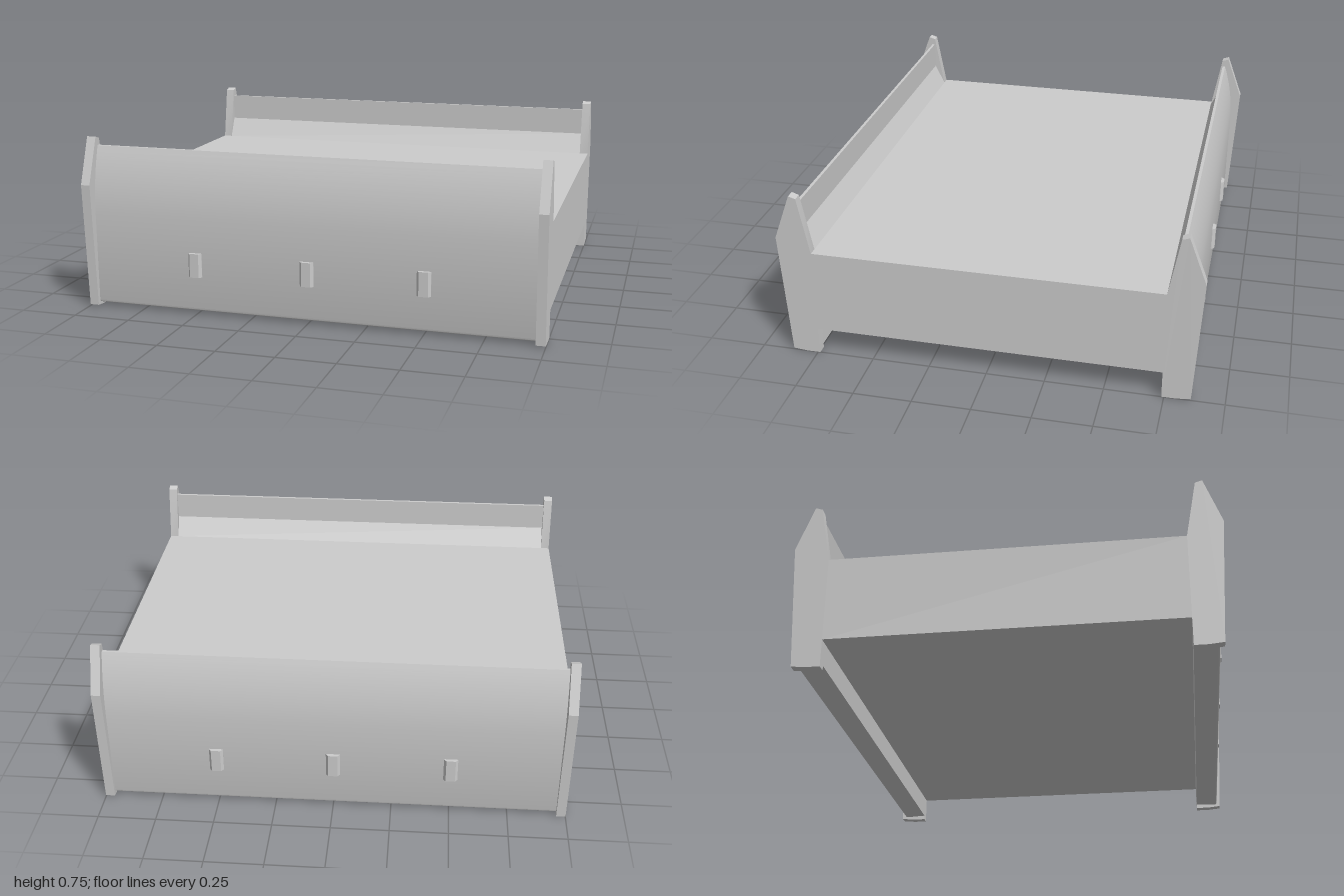
import * as THREE from 'three';
import { toCreasedNormals } from 'three/addons/utils/BufferGeometryUtils.js';

const material = new THREE.MeshStandardMaterial({ color: 0xcccccc });

// Extrude a (z, y) profile along x, centred on x = 0
function extrudeAlongX(shape, width) {
  const geo = new THREE.ExtrudeGeometry(shape, { depth: width, bevelEnabled: false, curveSegments: 12 });
  geo.translate(0, 0, -width / 2);
  geo.rotateY(-Math.PI / 2);
  return toCreasedNormals(geo, 0.4);
}

function polygon(points) {
  return new THREE.Shape(points.map(([a, b]) => new THREE.Vector2(a, b)));
}

function addMesh(parent, geo, name, x = 0, y = 0, z = 0) {
  const mesh = new THREE.Mesh(geo, material);
  mesh.name = name;
  mesh.position.set(x, y, z);
  parent.add(mesh);
}

// Parapet wall: curved outer face, sloped kerb inside
function parapetShape() {
  const s = new THREE.Shape();
  s.moveTo(0.74, 0.02);
  s.lineTo(0.83, 0.015);
  s.quadraticCurveTo(0.845, 0.015, 0.845, 0.03);
  s.lineTo(0.848, 0.42);
  s.quadraticCurveTo(0.848, 0.57, 0.8, 0.71);
  s.lineTo(0.787, 0.71);
  s.lineTo(0.787, 0.585);
  s.lineTo(0.74, 0.49);
  s.closePath();
  return s;
}

export function createModel() {
  const model = new THREE.Group();
  model.name = 'bridgeSection';

  // Deck slab
  addMesh(model, new THREE.BoxGeometry(2, 0.37, 1.48), 'deck', 0, 0.305, 0);

  const wallGeo = extrudeAlongX(parapetShape(), 1.92);
  const postGeo = extrudeAlongX(polygon([
    [0.74, 0], [0.8, 0], [0.86, 0.006], [0.89, 0.55],
    [0.815, 0.75], [0.785, 0.74], [0.74, 0.49],
  ]), 0.04);

  // Small tapered outlet blocks on the outer face
  const blockGeo = new THREE.ExtrudeGeometry(
    polygon([[-0.03, 0.015], [-0.03, -0.002], [-0.02, -0.015], [0.02, -0.015], [0.03, -0.002], [0.03, 0.015]]),
    { depth: 0.105, bevelEnabled: false });
  blockGeo.rotateX(-Math.PI / 2);

  // Identical parapet on each side
  for (const [name, angle] of [['frontParapet', 0], ['backParapet', Math.PI]]) {
    const parapet = new THREE.Group();
    parapet.name = name;
    parapet.rotation.y = angle;
    addMesh(parapet, wallGeo, 'wall');
    for (const x of [-0.98, 0.98]) addMesh(parapet, postGeo, 'endPost', x);
    for (const x of [-0.5, 0, 0.5]) addMesh(parapet, blockGeo, 'outletBlock', x, 0.168, 0.847);
    model.add(parapet);
  }
  return model;
}
